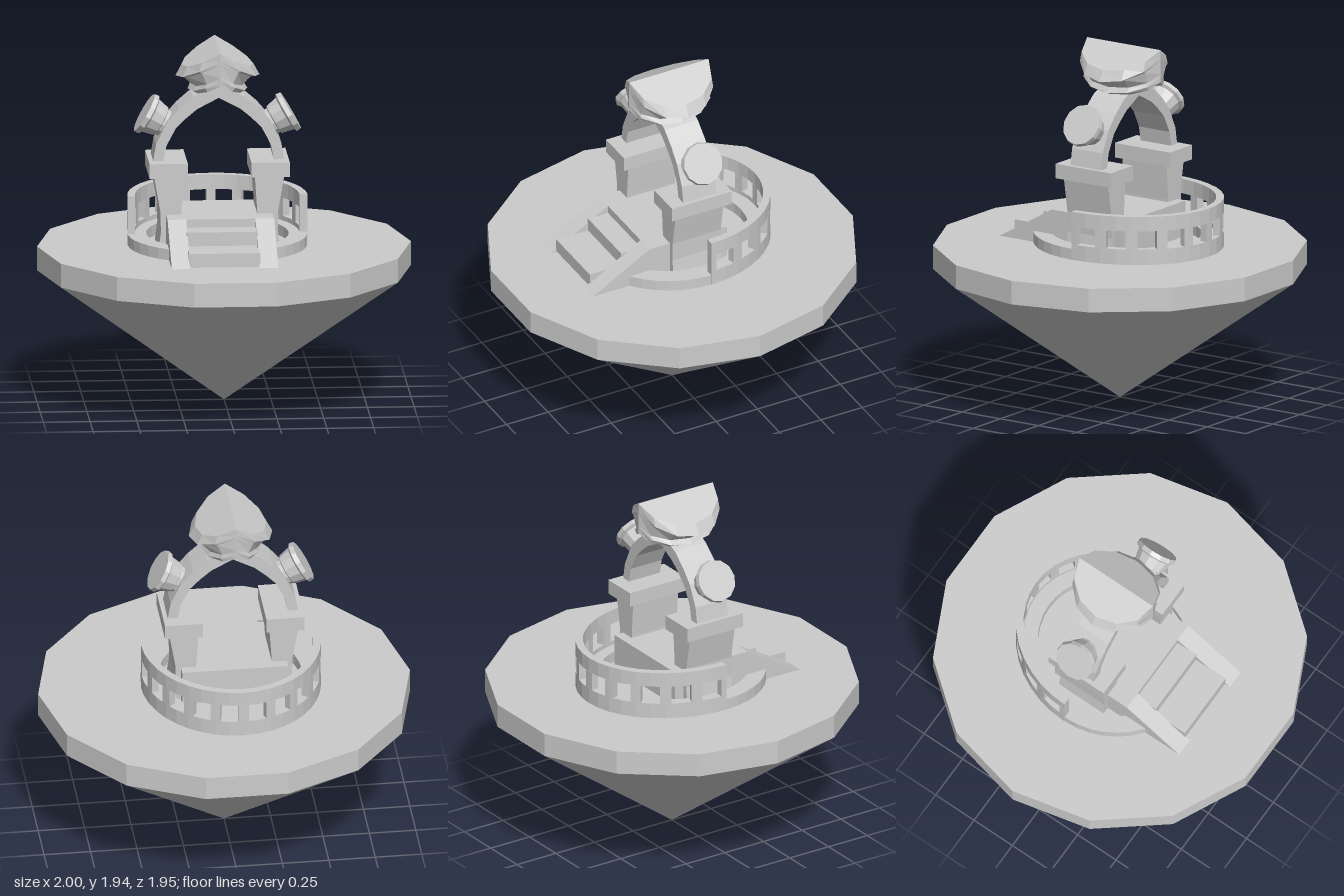
import * as THREE from 'three';

const CX = -0.035; // middle of the shrine on the platform
const GROUND = 0.85;

export function createModel() {
  const model = new THREE.Group();
  const material = new THREE.MeshStandardMaterial({ color: 0xcccccc, flatShading: true });

  const add = (name, geometry, parent = model) => {
    const g = geometry.index ? geometry.toNonIndexed() : geometry;
    g.computeVertexNormals();
    const mesh = new THREE.Mesh(g, material);
    mesh.name = name;
    parent.add(mesh);
    return mesh;
  };
  const box = (x0, x1, y0, y1, z0, z1) =>
    new THREE.BoxGeometry(x1 - x0, y1 - y0, z1 - z0)
      .translate((x0 + x1) / 2, (y0 + y1) / 2, (z0 + z1) / 2);
  const extrude = (points, depth) =>
    new THREE.ExtrudeGeometry(new THREE.Shape(points.map(p => new THREE.Vector2(p[0], p[1]))),
      { depth, bevelEnabled: false });

  // Floating island: fourteen-sided slab over an inverted cone
  add('islandSlab', new THREE.CylinderGeometry(1, 1, 0.13, 14)
    .rotateY(Math.PI / 2).translate(0, 0.785, 0));
  add('islandCone', new THREE.ConeGeometry(1, 0.72, 14, 1, true)
    .rotateX(Math.PI).rotateY(Math.PI / 2).translate(0, 0.36, 0));

  const shrine = new THREE.Group();
  shrine.name = 'shrine';
  shrine.position.x = CX;
  model.add(shrine);

  // Upright elliptical band between two angles in degrees; 0 to 180 is the back half
  const band = (a0, a1, y0, y1, inner, outer, steps) => {
    const points = [];
    const arc = (r, from, to) => {
      for (let i = 0; i <= steps; i++) {
        const a = THREE.MathUtils.degToRad(from + (to - from) * i / steps);
        points.push([r[0] * Math.cos(a), r[1] * Math.sin(a)]);
      }
    };
    arc(outer, a0, a1);
    arc(inner, a1, a0);
    return extrude(points, y1 - y0).rotateX(-Math.PI / 2).translate(0, y0, 0);
  };

  // Low ledge running round the shrine
  add('backLedge', band(0, 180, GROUND, 0.91, [0.38, 0.435], [0.47, 0.55], 20), shrine);
  add('frontLedge', band(180, 360, GROUND, 0.91, [0.38, 0.40], [0.48, 0.485], 20), shrine);

  // Curved back wall with ten windows
  const inner = [0.44, 0.52], outer = [0.482, 0.56];
  add('wallBase', band(0, 180, GROUND, 0.935, inner, outer, 20), shrine);
  add('wallRail', band(0, 180, 1.035, 1.115, inner, outer, 20), shrine);
  for (let i = 0; i <= 10; i++) {
    const a0 = Math.max(0, i * 18 - 3.2), a1 = Math.min(180, i * 18 + 3.2);
    add('wallPost', band(a0, a1, 0.935, 1.035, inner, outer, 2), shrine);
  }

  // Raised floor and stairs
  add('raisedFloor', box(-0.285, 0.285, GROUND, 1.045, -0.2, 0.27), shrine);
  add('lowerStep', box(-0.19, 0.19, GROUND, 0.925, 0.26, 0.58), shrine);
  add('upperStep', box(-0.19, 0.19, GROUND, 1.0, 0.26, 0.39), shrine);
  const stringer = [[0.25, GROUND], [0.61, GROUND], [0.27, 1.045], [0.25, 1.045]];
  for (const right of [-0.185, 0.285]) {
    add('stairSide', extrude(stringer, 0.1).rotateY(-Math.PI / 2).translate(right, 0, 0), shrine);
  }

  // Pillars, caps and side lamps
  const shaft = [[0.2, GROUND], [0.325, GROUND], [0.312, 0.95], [0.315, 1.06],
    [0.348, 1.25], [0.19, 1.25], [0.203, 1.06], [0.205, 0.95]];
  const lamp = [[0, 0], [0.075, 0], [0.075, 0.035], [0.085, 0.04], [0.1, 0.105],
    [0.117, 0.115], [0.113, 0.14], [0, 0.14]].map(p => new THREE.Vector2(p[0], p[1]));
  for (const s of [1, -1]) {
    const side = new THREE.Group();
    side.name = s > 0 ? 'leftSide' : 'rightSide';
    side.rotation.y = s > 0 ? 0 : Math.PI;
    shrine.add(side);
    add('pillarShaft', extrude(shaft, 0.29).translate(0, 0, -0.145), side);
    add('pillarCap', box(0.17, 0.375, 1.25, 1.33, -0.18, 0.18), side);
    add('sideLamp', new THREE.LatheGeometry(lamp, 12)
      .rotateZ(-Math.PI / 3).translate(0.27, 1.505, 0), side);
  }

  // Pointed arch
  const archOuter = [[0.352, 1.32], [0.335, 1.42], [0.28, 1.535], [0.215, 1.61], [0.14, 1.675]];
  const archInner = [[0.297, 1.32], [0.28, 1.41], [0.23, 1.505], [0.175, 1.56], [0.115, 1.61]];
  const mirrored = list => list.map(([x, y]) => [-x, y]).reverse();
  const arch = [...archOuter, [0, 1.74], ...mirrored(archOuter),
    ...mirrored(archInner).reverse(), [0, 1.67], ...archInner.slice().reverse()];
  add('arch', extrude(arch, 0.2).translate(0, 0, -0.1), shrine);

  // Top lamp: a turned drum folded down on both sides of a central crease
  const drum = [[0, -0.155], [0.235, -0.155], [0.255, -0.13], [0.225, -0.115],
    [0.25, -0.05], [0.277, -0.036], [0.22, 0], [0, 0]].map(p => new THREE.Vector2(p[0], p[1]));
  const topLamp = new THREE.LatheGeometry(drum, 12);
  const pos = topLamp.attributes.position;
  const cos = 0.875, sin = 0.485;
  for (let i = 0; i < pos.count; i++) {
    const x = pos.getX(i), z = pos.getZ(i), n = -pos.getY(i);
    const r = Math.hypot(x, z);
    const crease = n * sin / cos;
    const across = r > 0 ? Math.abs(x) / r : 0;
    const u = crease + Math.max(0, r - crease) * across;
    const depth = r > 0 ? Math.min(r * 1.09, 0.24) * z / r : 0;
    pos.setXYZ(i, Math.sign(x) * (u * cos - n * sin), 1.94 - u * sin - n * cos, depth);
  }
  add('topLamp', topLamp, shrine);

  return model;
}
